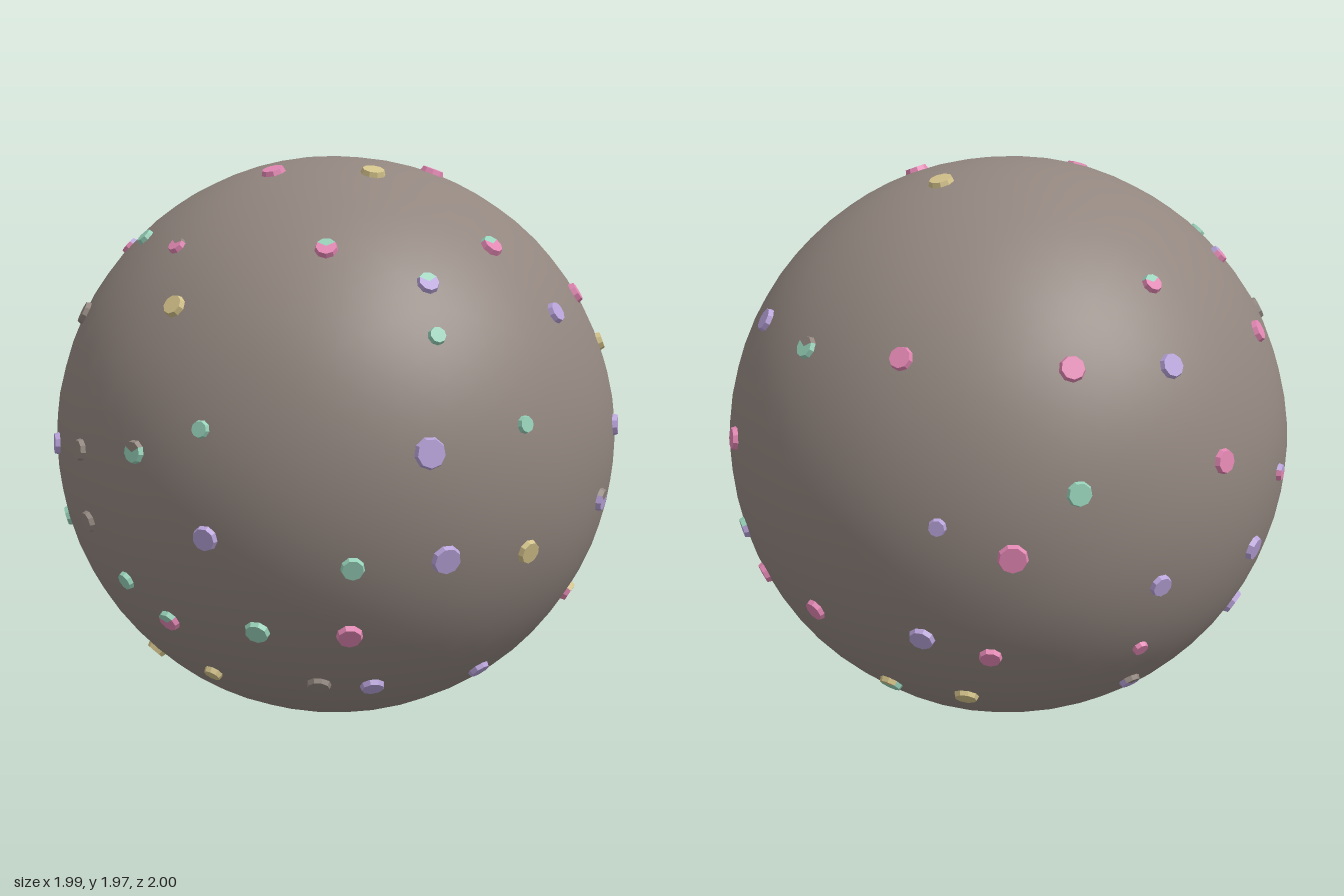
import * as THREE from 'three';
import { mergeVertices } from 'three/addons/utils/BufferGeometryUtils.js';

const R = 0.985, CY = 0.993;

const mat = (name, color) => {
  const m = new THREE.MeshStandardMaterial({ color });
  m.name = name;
  return m;
};

// Gems on each side: [tones (upper chip, main part), across, up, radius].
// Across is x on front and back, z on the left and right; the top uses x, z.
const SIDES = {
  front: [
    ['gv', 0, 1.575], ['gg', -0.01, 1.42, 0.032], ['vv', 0.49, 1.465], ['gp', -0.28, 1.68], ['gp', 0.29, 1.68, 0.043],
    ['gg', -0.7, 1.14, 0.032], ['gg', 0.27, 1.14, 0.032], ['vv', -0.07, 1.075, 0.056], ['vv', -0.69, 0.8, 0.046],
    ['gg', -0.29, 0.72, 0.042], ['vv', 0, 0.735, 0.054], ['yy', 0.31, 0.725, 0.045], ['sv', 0.69, 0.83, 0.044],
    ['gg', -0.52, 0.485, 0.046], ['pp', -0.26, 0.48, 0.047], ['yy', -0.57, 0.27, 0.036],
    ['ss', -0.29, 0.27, 0.045], ['vv', -0.12, 0.26, 0.045], ['vv', 0.29, 0.26, 0.043],
  ],
  back: [
    ['pp', 0.495, 1.45, 0.043], ['pp', 0, 1.43, 0.046], ['vv', -0.33, 1.41, 0.046], ['gp', -0.31, 1.64, 0.037],
    ['gg', 0, 1.065, 0.045], ['pp', -0.51, 1.095, 0.046], ['pp', 0.2, 0.865, 0.054], ['vv', 0.42, 0.96, 0.032],
    ['vv', -0.29, 0.72, 0.042], ['vv', 0.45, 0.55, 0.048], ['pp', 0.24, 0.49, 0.042], ['pp', -0.26, 0.47, 0.03],
    ['yy', 0.28, 0.275, 0.046], ['sv', -0.28, 0.28],
  ],
  left: [
    ['pp', 0.46, 1.51], ['yy', 0.455, 1.34, 0.035], ['vv', -0.13, 1.47, 0.046], ['sg', -0.45, 1.44, 0.042],
    ['vv', 0.55, 1.06, 0.042], ['gg', 0.3, 1.02, 0.042], ['pp', -0.13, 1.07, 0.045], ['pg', 0.27, 0.72, 0.043],
    ['gv', -0.09, 0.74, 0.042], ['pp', -0.13, 0.585, 0.042], ['pp', -0.47, 0.565, 0.043], ['yp', 0.52, 0.48, 0.04],
    ['ss', 0.11, 0.285, 0.036], ['yg', -0.44, 0.27, 0.046],
  ],
  right: [
    ['pp', -0.47, 1.43, 0.043], ['vp', -0.28, 1.66, 0.037], ['gg', 0, 1.7, 0.034], ['sp', 0.27, 1.68, 0.034],
    ['yy', 0.45, 1.5], ['ss', -0.14, 1.44, 0.046], ['vv', -0.1, 1.0, 0.043], ['ss', 0.19, 1.02],
    ['ss', 0.19, 0.78], ['sg', 0.48, 1.05, 0.042], ['vv', -0.65, 0.73, 0.048], ['gg', -0.23, 0.72, 0.04],
    ['gg', 0.31, 0.6, 0.036], ['gp', 0.41, 0.48, 0.043], ['yy', 0, 0.27], ['vv', -0.45, 0.465, 0.05],
    ['vp', -0.56, 0.96, 0.033],
  ],
  top: [['yy', 0.27, -0.195, 0.048], ['pp', -0.29, 0.175, 0.046], ['pp', 0.29, 0.175, 0.046], ['yy', 0, 0.345, 0.046]],
};

// Solve the missing coordinate so the direction lies on the sphere
function direction(side, a, b) {
  const up = side === 'top' ? b : b - CY;
  const c = Math.sqrt(Math.max(0, R * R - a * a - up * up));
  const v = {
    front: [a, up, c], back: [a, up, -c], left: [c, up, a],
    right: [-c, up, a], top: [a, c, b],
  }[side];
  return new THREE.Vector3(...v).normalize();
}

// Sector of a low bevelled gem facing +z, centred on the given angle
function gemSector(middle, span, sides) {
  const g = new THREE.CylinderGeometry(0.8, 1, 1, sides, 1, false, middle - span / 2, span)
    .rotateX(Math.PI / 2).toNonIndexed();
  g.computeVertexNormals();
  return g;
}

export function createModel() {
  const model = new THREE.Group();
  model.name = 'studdedBall';

  // Ball with a faintly uneven, hand-smoothed surface
  let ball = new THREE.IcosahedronGeometry(R, 11);
  ball.deleteAttribute('normal');
  ball.deleteAttribute('uv');
  ball = mergeVertices(ball, 1e-4);
  const p = ball.attributes.position;
  const v = new THREE.Vector3();
  for (let i = 0; i < p.count; i++) {
    v.fromBufferAttribute(p, i);
    const bump = Math.sin(v.x * 9 + v.y * 4) * Math.sin(v.y * 8 - v.z * 5) * Math.sin(v.z * 9 + 1);
    v.multiplyScalar(1 + 0.002 * bump);
    p.setXYZ(i, v.x, v.y, v.z);
  }
  ball.computeVertexNormals();

  const tones = {
    s: mat('stone', 0x92867f), p: mat('pink', 0xe387b3), g: mat('mint', 0x98d3bb),
    v: mat('lilac', 0xb8a3da), y: mat('straw', 0xd3c28a),
  };
  const body = new THREE.Mesh(ball, tones.s);
  body.name = 'ball';
  body.position.y = CY;
  model.add(body);

  // Gems: a third of each is an upper chip, the rest the main part
  const sectors = [gemSector(Math.PI, Math.PI * 2 / 3, 3), gemSector(0, Math.PI * 4 / 3, 6)];

  for (const [side, gems] of Object.entries(SIDES)) {
    const set = new THREE.Group();
    set.name = side + 'Gems';
    for (const [tone, a, b, r = 0.041] of gems) {
      const dir = direction(side, a, b);
      const gem = new THREE.Group();
      gem.name = 'gem';
      gem.position.copy(dir).multiplyScalar(R);
      gem.lookAt(dir.clone().multiplyScalar(3));
      gem.scale.set(r, r, 0.028);
      sectors.forEach((geo, i) => {
        const part = new THREE.Mesh(geo, tones[tone[i]]);
        part.name = i ? 'mainPart' : 'upperChip';
        gem.add(part);
      });
      gem.position.y += CY;
      set.add(gem);
    }
    model.add(set);
  }
  return model;
}
